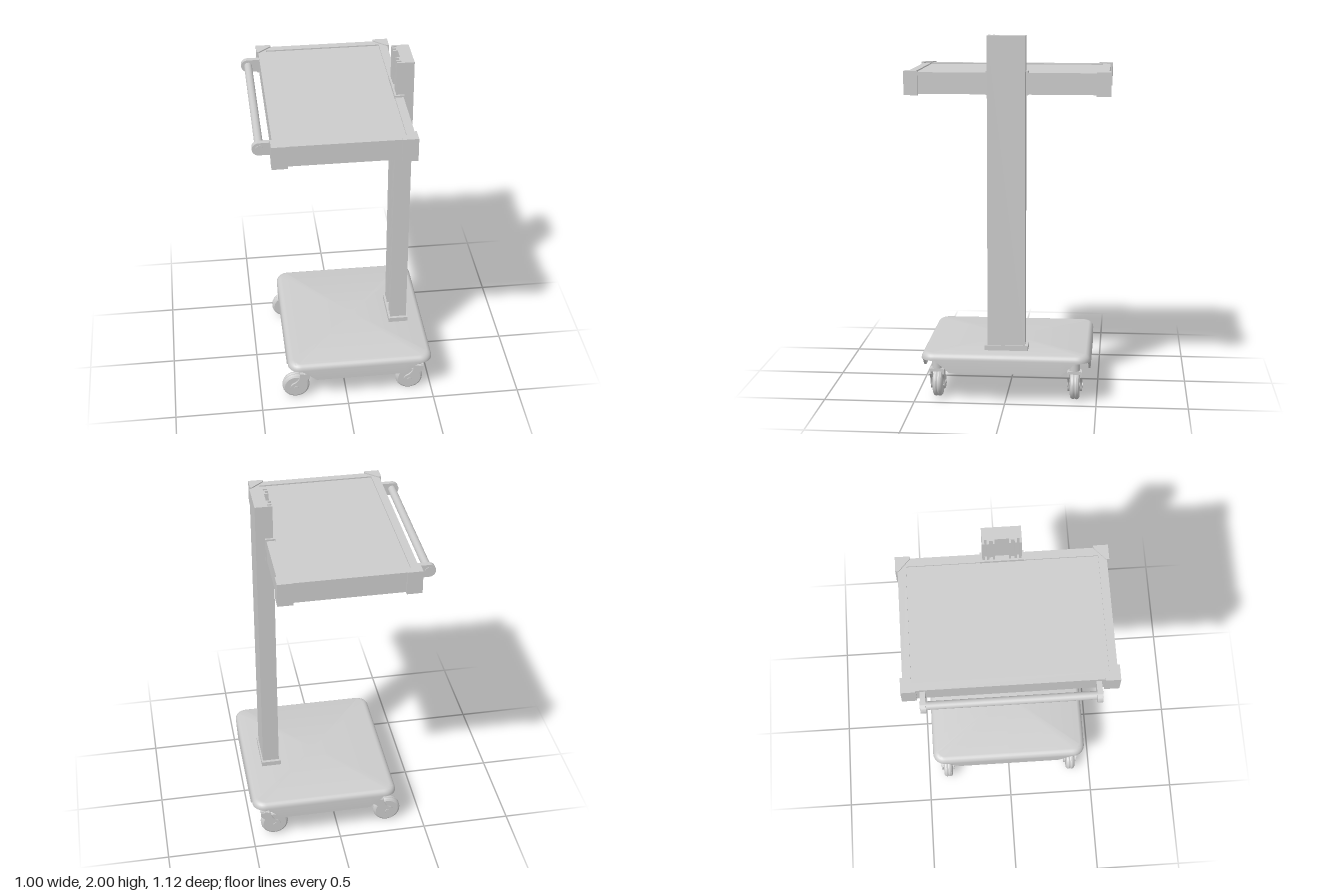
import * as THREE from 'three';
import { toCreasedNormals } from 'three/addons/utils/BufferGeometryUtils.js';

const mat = new THREE.MeshStandardMaterial({ color: 0xcccccc });

function add(parent, name, geo, x = 0, y = 0, z = 0) {
  const m = new THREE.Mesh(geo, mat);
  m.name = name;
  m.position.set(x, y, z);
  parent.add(m);
  return m;
}

// Box given by its extents
function block(parent, name, x0, x1, y0, y1, z0, z1) {
  return add(parent, name, new THREE.BoxGeometry(x1 - x0, y1 - y0, z1 - z0),
    (x0 + x1) / 2, (y0 + y1) / 2, (z0 + z1) / 2);
}

const polygon = pts => new THREE.Shape(pts.map(p => new THREE.Vector2(p[0], p[1])));

// Plan outline in (x, z) raised from y0 to y1
function prism(shape, y0, y1) {
  const g = new THREE.ExtrudeGeometry(shape, { depth: y1 - y0, bevelEnabled: false });
  return g.rotateX(Math.PI / 2).translate(0, y1, 0);
}

// Thin moulded base: rounded top edge, skirt cut away above the casters
function baseShell() {
  const cx = 0.0775, hx = 0.4175, hz = 0.465, r = 0.07, per = [];
  const corners = [[1, 1], [-1, 1], [-1, -1], [1, -1]];
  corners.forEach(([sx, sz], k) => {
    for (let i = 0; i <= 8; i++) {
      const a = (k + i / 8) * Math.PI / 2;
      const nx = Math.cos(a), nz = Math.sin(a);
      per.push({ x: sx * (hx - r) + r * nx, z: sz * (hz - r) + r * nz, nx, nz });
    }
    // straight run to the next corner
    const alongX = k % 2 === 0, half = alongX ? hx : hz;
    const dir = alongX ? -sx : -sz;
    for (const d of [0.08, 0.11, 0.16, half, 2 * half - 0.16, 2 * half - 0.11, 2 * half - 0.08]) {
      const t = dir * (d - half);
      per.push(alongX ? { x: t, z: sz * hz, nx: 0, nz: sz } : { x: sx * hx, z: t, nx: sx, nz: 0 });
    }
  });
  const hem = p => {
    const f = Math.max(hx - Math.abs(p.x), hz - Math.abs(p.z));
    return THREE.MathUtils.mapLinear(THREE.MathUtils.clamp(f, 0.08, 0.16), 0.08, 0.16, 0.235, 0.168);
  };
  // rings as [inset, height]; null inset = centre point, null height = hem
  const rings = [[null, 0.275]];
  for (let i = 0; i <= 6; i++) {
    const a = i / 6 * Math.PI / 2;
    rings.push([0.035 * (1 - Math.sin(a)), 0.24 + 0.035 * Math.cos(a)]);
  }
  rings.push([0, null], [0.012, null], [0.012, 0.24], [0.035, 0.262], [null, 0.262]);
  const pos = [], idx = [], n = per.length;
  for (const [d, y] of rings) {
    for (const p of per) {
      if (d === null) pos.push(cx, y, 0);
      else pos.push(cx + p.x - p.nx * d, y === null ? hem(p) : y, p.z - p.nz * d);
    }
  }
  for (let i = 0; i < rings.length - 1; i++) {
    for (let j = 0; j < n; j++) {
      const a = i * n + j, b = i * n + (j + 1) % n, c = a + n, d = b + n;
      if (rings[i][0] !== null) idx.push(a, b, c);
      if (rings[i + 1][0] !== null) idx.push(b, d, c);
    }
  }
  const g = new THREE.BufferGeometry();
  g.setAttribute('position', new THREE.Float32BufferAttribute(pos, 3));
  g.setIndex(idx);
  return toCreasedNormals(g, 0.6);
}

// Swivel caster: wheel on a trailing fork
function caster(name) {
  const g = new THREE.Group();
  g.name = name;
  const R = 0.079, sx = 0.052;
  const tyre = [[0.02, -0.026], [0.066, -0.026], [0.075, -0.02], [R, -0.009], [0.075, 0],
    [R, 0.009], [0.075, 0.02], [0.066, 0.026], [0.02, 0.026]].map(p => new THREE.Vector2(p[0], p[1]));
  add(g, 'wheel', toCreasedNormals(new THREE.LatheGeometry(tyre, 32).rotateX(Math.PI / 2), 0.5), 0, R, 0);
  add(g, 'axle', new THREE.CylinderGeometry(0.014, 0.014, 0.088, 16).rotateX(Math.PI / 2), 0, R, 0);

  const arm = new THREE.Shape();
  arm.moveTo(0.034, R);
  arm.quadraticCurveTo(0.045, 0.12, 0.08, 0.145);
  arm.lineTo(0.08, 0.175);
  arm.lineTo(0.022, 0.175);
  arm.quadraticCurveTo(0.022, 0.125, -0.017, R + 0.029);
  arm.absarc(0, R, 0.034, Math.PI * 0.67, Math.PI * 2, false);
  for (const s of [-1, 1]) {
    const geo = new THREE.ExtrudeGeometry(arm, { depth: 0.01, bevelEnabled: false, curveSegments: 12 });
    add(g, 'forkArm', toCreasedNormals(geo, 0.6), 0, 0, s * 0.035 - 0.005);
  }
  block(g, 'forkCrown', 0.022, 0.08, 0.162, 0.178, -0.035, 0.035);
  add(g, 'stem', new THREE.CylinderGeometry(0.028, 0.028, 0.09, 20), sx, 0.218, 0);
  return g;
}

export function createModel() {
  const model = new THREE.Group();

  // Base and casters
  const base = new THREE.Group();
  base.name = 'base';
  model.add(base);
  add(base, 'baseShell', baseShell());
  for (const x of [-0.295, 0.37]) {
    for (const z of [-0.38, 0.38]) {
      const c = caster('caster');
      c.position.set(x, 0, z);
      base.add(c);
    }
  }

  // Column: extruded profile with grooves down its inner face
  const column = new THREE.Group();
  column.name = 'columnAssembly';
  model.add(column);
  const x0 = 0.298, profile = [[0.392, -0.103], [0.392, 0.103], [x0, 0.103]];
  for (const [zc, hw, depth] of [[0.084, 0.006, 0.025], [0.056, 0.01, 0.018], [0, 0.037, 0.025],
    [-0.056, 0.01, 0.018], [-0.084, 0.006, 0.025]]) {
    profile.push([x0, zc + hw], [x0 + depth, zc + hw], [x0 + depth, zc - hw], [x0, zc - hw]);
  }
  profile.push([x0, -0.103]);
  add(column, 'column', prism(polygon(profile), 0.27, 2));
  block(column, 'columnCollar', 0.287, 0.4, 0.27, 0.303, -0.12, 0.12);

  // Mounting plate under the base, with slots
  const plate = polygon([[0.287, -0.12], [0.4, -0.12], [0.4, 0.12], [0.287, 0.12]]);
  for (const z of [-0.07, 0, 0.07]) {
    const h = z ? 0.018 : 0.036;
    plate.holes.push(new THREE.Path([[0.315, z - h], [0.37, z - h], [0.37, z + h], [0.315, z + h]]
      .map(p => new THREE.Vector2(p[0], p[1]))));
  }
  add(column, 'mountingPlate', prism(plate, 0.252, 0.264));

  // Tray: frame, recessed panel, corner caps
  const tray = new THREE.Group();
  tray.name = 'tray';
  model.add(tray);
  const L = -0.398, Rt = 0.336, D = 0.548;
  const frame = polygon([[L, -D], [Rt, -D], [Rt, D], [L, D]]);
  frame.holes.push(new THREE.Path([[-0.354, -0.504], [0.29, -0.504], [0.29, 0.504], [-0.354, 0.504]]
    .map(p => new THREE.Vector2(p[0], p[1]))));
  add(tray, 'trayFrame', prism(frame, 1.683, 1.8));
  block(tray, 'trayPanel', -0.354, 0.29, 1.686, 1.793, -0.504, 0.504);

  const mid = (L + Rt) / 2, hw = (Rt - L) / 2 + 0.01, hd = 0.56;
  for (const sx of [-1, 1]) {
    for (const sz of [-1, 1]) {
      const pts = [[0, 0], [0.083, 0], [0.083, 0.016], [0.014, 0.078], [0, 0.078]]
        .map(([a, b]) => [mid + sx * (hw - a), sz * (hd - b)]);
      add(tray, 'cornerCap', prism(polygon(pts), 1.676, 1.806));
    }
  }

  // Bracket gripping the column
  for (const s of [-1, 1]) {
    block(tray, 'columnBracketCheek', 0.288, 0.342, 1.68, 1.81, s * 0.109 - 0.006, s * 0.109 + 0.006);
  }
  block(tray, 'columnBracketBack', 0.288, 0.3, 1.68, 1.81, -0.105, 0.105);

  // Push handle along the outer edge
  const handle = new THREE.Group();
  handle.name = 'handle';
  model.add(handle);
  const lug = new THREE.Shape();
  lug.moveTo(-0.395, 1.708);
  lug.lineTo(-0.395, 1.78);
  lug.lineTo(-0.464, 1.78);
  lug.absarc(-0.464, 1.744, 0.036, Math.PI / 2, Math.PI * 1.5, false);
  for (const s of [-1, 1]) {
    const geo = new THREE.ExtrudeGeometry(lug, { depth: 0.028, bevelEnabled: false, curveSegments: 16 });
    add(handle, 'handleLug', toCreasedNormals(geo, 0.6), 0, 0, s * 0.45 - 0.014);
  }
  add(handle, 'handleBar', new THREE.CylinderGeometry(0.022, 0.022, 0.935, 24).rotateX(Math.PI / 2), -0.461, 1.744, 0);

  return model;
}
